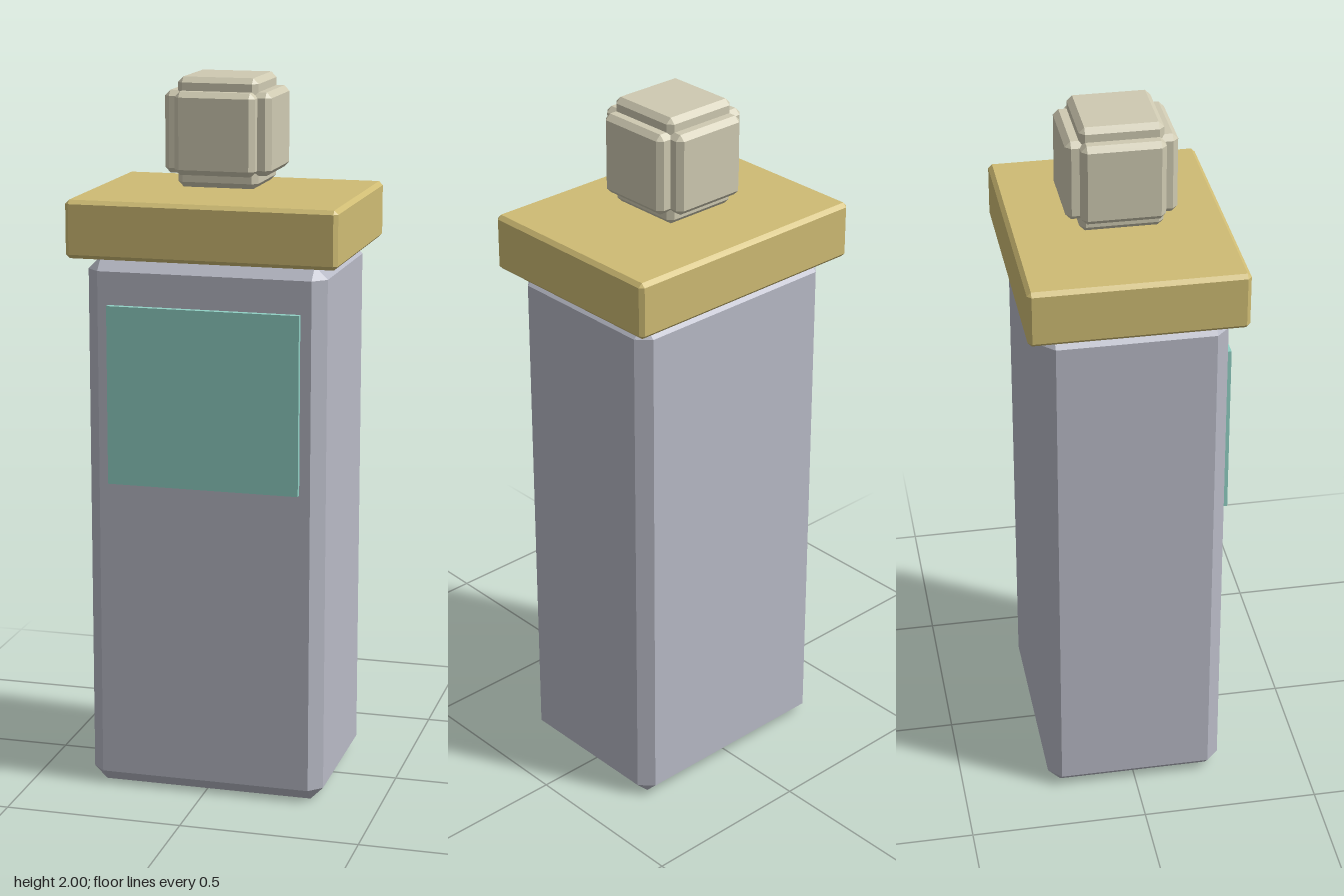
import * as THREE from 'three';
import { ConvexGeometry } from 'three/addons/geometries/ConvexGeometry.js';

// Box with flat bevels: each corner becomes a small triangle
function bevelBox(w, h, d, bevel) {
  const half = [w / 2, h / 2, d / 2];
  const points = [];
  for (const sx of [-1, 1]) for (const sy of [-1, 1]) for (const sz of [-1, 1]) {
    for (let full = 0; full < 3; full++) {
      const [x, y, z] = half.map((v, axis) => (axis === full ? v : v - bevel));
      points.push(new THREE.Vector3(sx * x, sy * y, sz * z));
    }
  }
  return new ConvexGeometry(points);
}

function material(name, color) {
  const m = new THREE.MeshStandardMaterial({ color });
  m.name = name;
  return m;
}

export function createModel() {
  const model = new THREE.Group();
  model.name = 'bottle';

  const grey = material('bodyGrey', 0xb8bac6);
  const gold = material('collarGold', 0xcfbc74);
  const cream = material('stopperCream', 0xcfcab2);
  const teal = material('labelTeal', 0x90d0c4);

  const add = (parent, name, geometry, mat, y, z = 0) => {
    const mesh = new THREE.Mesh(geometry, mat);
    mesh.name = name;
    mesh.position.set(0, y, z);
    parent.add(mesh);
  };

  // Tall body, front label and wide collar
  add(model, 'body', bevelBox(0.672, 1.518, 0.504, 0.036), grey, 0.759);
  add(model, 'label', new THREE.BoxGeometry(0.54, 0.5, 0.026), teal, 1.14, 0.256);
  add(model, 'collar', bevelBox(0.756, 0.16, 0.588, 0.011), gold, 1.6);

  // Floating stopper: three crossing blocks, one along each axis
  const stopper = new THREE.Group();
  stopper.name = 'stopper';
  stopper.position.y = 1.85;
  ['blockAcross', 'blockUpright', 'blockDeep'].forEach((name, axis) => {
    const size = [0.226, 0.226, 0.226];
    size[axis] = 0.3;
    add(stopper, name, bevelBox(...size, 0.015), cream, 0);
  });
  model.add(stopper);

  return model;
}
